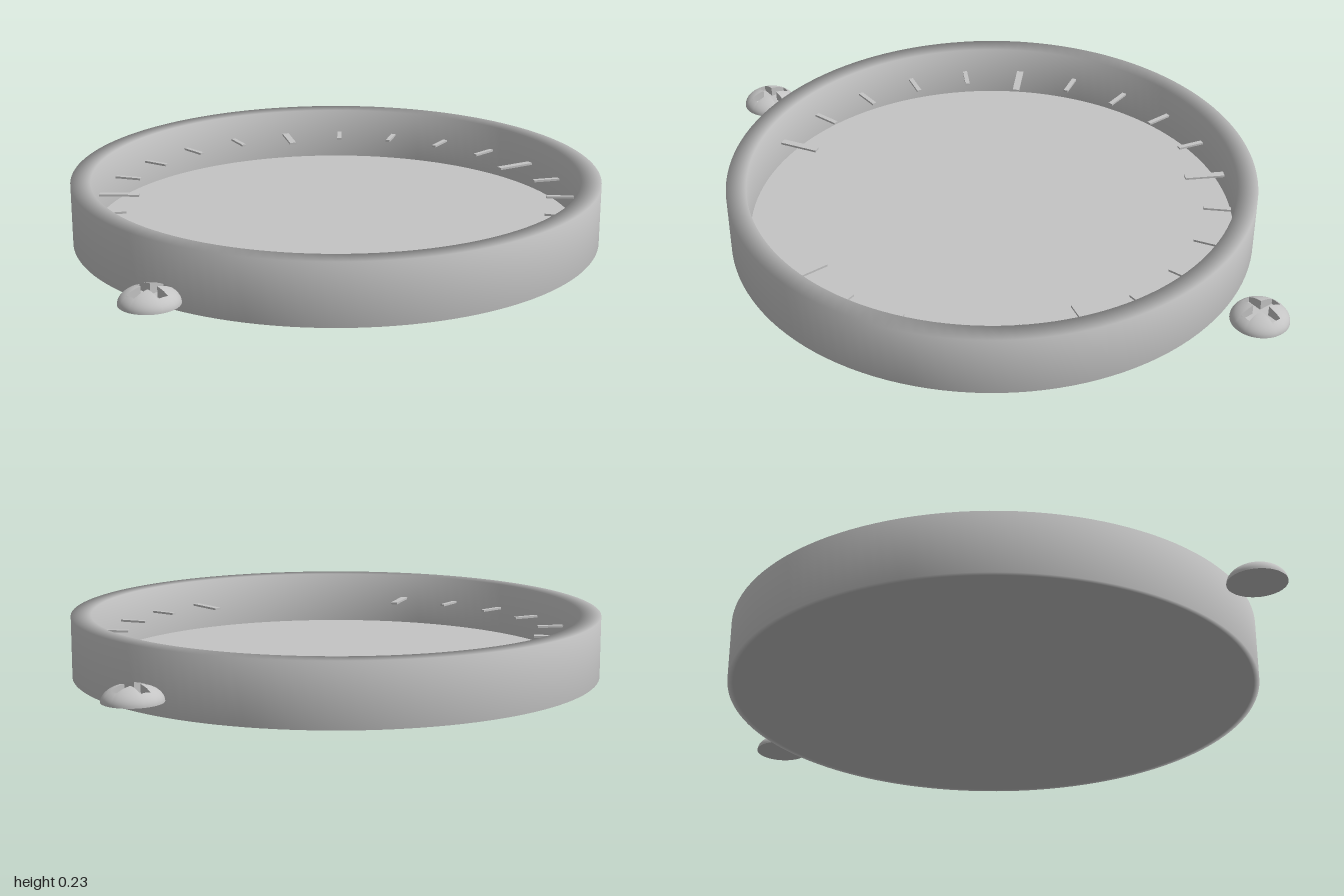
import * as THREE from 'three';
import { mergeGeometries } from 'three/addons/utils/BufferGeometryUtils.js';

const grey = new THREE.MeshStandardMaterial({ color: 0xc4c4c4 });
grey.name = 'plain grey';

function add(parent, name, geometry) {
  const mesh = new THREE.Mesh(geometry, grey);
  mesh.name = name;
  parent.add(mesh);
  return mesh;
}

// Flat round plate facing up or down
function disc(radius, y, up) {
  return new THREE.CircleGeometry(radius, 128).rotateX(up ? -Math.PI / 2 : Math.PI / 2).translate(0, y, 0);
}

// Closed band between rings of points; faces up when the rings run inward
function band(rings, smooth) {
  const n = rings[0].length;
  const index = [];
  for (let j = 0; j < rings.length - 1; j++) {
    for (let i = 0; i < n; i++) {
      const k = (i + 1) % n;
      const a = j * n + i, b = j * n + k, c = a + n, d = b + n;
      index.push(a, b, c, b, d, c);
    }
  }
  let g = new THREE.BufferGeometry();
  g.setAttribute('position', new THREE.Float32BufferAttribute(rings.flat(2), 3));
  g.setIndex(index);
  if (smooth) g.computeVertexNormals();
  g = g.toNonIndexed();
  if (!smooth) g.computeVertexNormals();
  return g;
}

// Domed screw head with a cross-shaped recess
function screwHeadGeometry() {
  const R = 0.105, H = 0.06, armLength = 0.075, armHalf = 0.019, recessY = 0.02;
  const corner = Math.atan(armHalf / armLength);

  // Angles that hit every corner of the cross
  const octant = [0, corner / 2, corner];
  for (let i = 1; i <= 6; i++) octant.push(corner + (Math.PI / 4 - corner) * i / 6);
  const quarter = [...octant, ...octant.slice(1, -1).reverse().map(a => Math.PI / 2 - a)];
  const angles = [0, 1, 2, 3].flatMap(q => quarter.map(a => a + q * Math.PI / 2));

  const crossRadius = angle => {
    let a = angle % (Math.PI / 2);
    if (a > Math.PI / 4) a = Math.PI / 2 - a;
    return a <= corner + 1e-6 ? armLength / Math.cos(a) : armHalf / Math.sin(a);
  };
  const domeY = r => H * Math.sqrt(Math.max(0, 1 - (r / R) ** 2));
  const ring = (radius, height) => angles.map(a => {
    const r = radius(a);
    return [r * Math.cos(a), height(r), -r * Math.sin(a)];
  });

  const dome = [];
  for (let j = 0; j <= 10; j++) {
    const t = (j / 10) ** 2;
    dome.push(ring(a => R + (crossRadius(a) - R) * t, domeY));
  }
  const recessEdge = ring(crossRadius, () => recessY);
  return mergeGeometries([
    band(dome, true),
    band([ring(crossRadius, domeY), recessEdge], false),
    band([recessEdge, ring(() => 0, () => recessY)], false),
    band([ring(() => 0, () => 0), ring(() => R, () => 0)], false),
  ]);
}

export function createModel() {
  const model = new THREE.Group();
  model.name = 'gauge';

  // Shallow round case, shaded softly around the rim
  const profile = [[0.98, 0], [1, 0], [1, 0.23], [0.925, 0.23], [0.925, 0.025]];
  add(model, 'caseRim', new THREE.LatheGeometry(profile.map(p => new THREE.Vector2(...p)), 128));
  add(model, 'caseFloor', disc(0.925, 0.025, true));
  add(model, 'caseBottom', disc(0.98, 0, false));

  // Scale marks every 15 degrees, long ones every 75
  const marks = new THREE.Group();
  marks.name = 'scaleMarks';
  for (let i = -10; i <= 10; i++) {
    const major = i % 5 === 0;
    const inner = major ? 0.753 : 0.803, outer = 0.907;
    const g = new THREE.BoxGeometry(major ? 0.027 : 0.018, 0.008, outer - inner);
    g.translate(0, 0.134, -(inner + outer) / 2);
    add(marks, major ? 'majorMark' : 'minorMark', g).rotation.y = i * Math.PI / 12;
  }
  model.add(marks);

  // Two screws at opposite corners
  const screw = screwHeadGeometry();
  for (const s of [1, -1]) {
    const head = add(model, 'screwHead', screw);
    head.position.set(s * 0.83, 0.09, -s * 0.83);
    head.rotation.y = Math.PI / 6;
  }
  return model;
}
